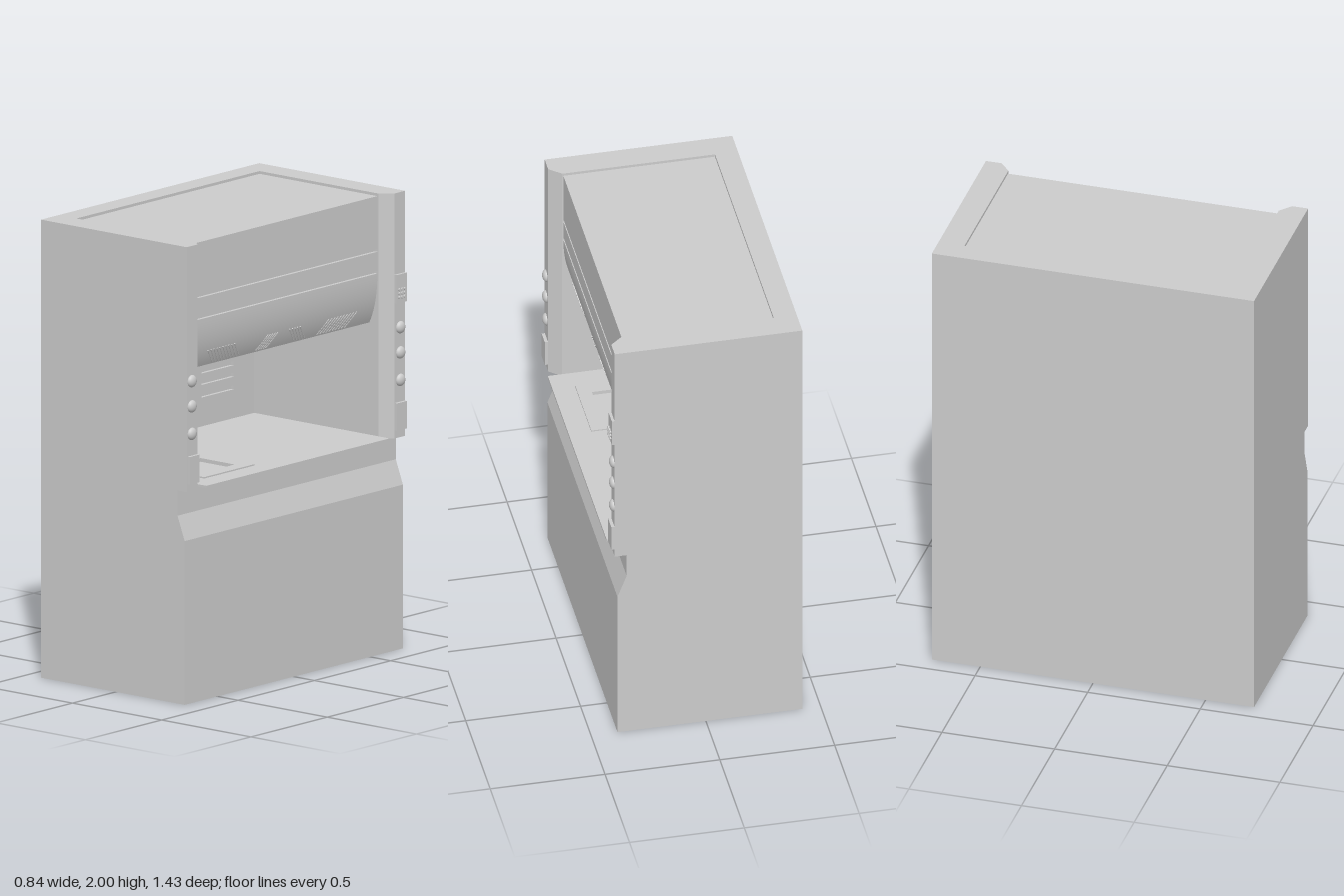
import * as THREE from 'three';
import { toCreasedNormals } from 'three/addons/utils/BufferGeometryUtils.js';

const grey = new THREE.MeshStandardMaterial({ color: 0xcccccc });
const HALF = 0.715; // half the cabinet length
const IN = 0.6; // half the opening length

export function createModel() {
  const root = new THREE.Group();

  function add(name, geometry, x = 0, y = 0, z = 0, parent = root) {
    const mesh = new THREE.Mesh(geometry, grey);
    mesh.name = name;
    mesh.position.set(x, y, z);
    parent.add(mesh);
    return mesh;
  }
  // box given by its limits on each axis
  const block = (name, x0, x1, y0, y1, z0, z1, parent) => add(name,
    new THREE.BoxGeometry(x1 - x0, y1 - y0, z1 - z0),
    (x0 + x1) / 2, (y0 + y1) / 2, (z0 + z1) / 2, parent);
  const shapeOf = (pts) => new THREE.Shape(pts.map(([a, b]) => new THREE.Vector2(a, b)));
  const rect = (a0, a1, b0, b1) => [[a0, b0], [a1, b0], [a1, b1], [a0, b1]];
  const extrude = (shape, depth) =>
    new THREE.ExtrudeGeometry(shape, { depth, bevelEnabled: false, curveSegments: 12 });
  // plan outlines (x, -z) raised along y
  const raise = (shape, height) => extrude(shape, height).rotateX(-Math.PI / 2);

  // base cabinet with a recessed sloping band under the worktop
  add('baseCabinet', extrude(shapeOf([
    [-0.42, 0], [0.385, 0], [0.385, 0.715], [0.345, 0.82], [0.345, 0.93], [-0.42, 0.93],
  ]), HALF * 2), 0, 0, -HALF);

  // worktop with an opening for the sink
  const top = shapeOf(rect(-0.42, 0.408, -IN, IN));
  top.holes.push(shapeOf(rect(0.06, 0.25, -0.44, -0.23)));
  add('worktop', raise(top, 0.01), 0, 0.93, 0);
  const rim = shapeOf(rect(0, 0.31, -0.5, -0.17));
  rim.holes.push(shapeOf(rect(0.06, 0.25, -0.44, -0.23)));
  add('sinkRim', raise(rim, 0.006), 0, 0.94, 0);

  // side walls with chamfered front posts
  for (const s of [1, -1]) {
    const wall = shapeOf([
      [-0.42, -s * HALF], [0.397, -s * HALF], [0.397, -s * 0.645],
      [0.345, -s * IN], [-0.42, -s * IN],
    ]);
    add(s > 0 ? 'leftWall' : 'rightWall', raise(wall, 1.07), 0, 0.93, 0);
  }

  // rear wall and top border
  block('rearWall', -0.42, -0.38, 0.94, 2, -IN, IN);
  block('topBorder', -0.38, -0.32, 1.95, 2, -IN, IN);

  // slotted baffle inside the chamber
  const baffle = shapeOf(rect(-IN, IN, 0.94, 1.45));
  for (const z of [-0.36, 0, 0.36]) {
    for (const y of [1.075, 1.13, 1.18, 1.23, 1.34, 1.39]) {
      baffle.holes.push(shapeOf(rect(z - 0.105, z + 0.105, y - 0.009, y + 0.009)));
    }
  }
  add('slottedBaffle', extrude(baffle, 0.015).rotateY(Math.PI / 2), -0.365, 0, 0);

  // hood front: two grooves, then a curved lower lip
  const hood = new THREE.Shape();
  hood.moveTo(-0.38, 1.43);
  hood.lineTo(0.295, 1.43);
  hood.bezierCurveTo(0.325, 1.49, 0.34, 1.56, 0.34, 1.65);
  for (const y of [1.65, 1.745]) {
    hood.lineTo(0.34, y);
    hood.lineTo(0.325, y);
    hood.lineTo(0.325, y + 0.013);
    hood.lineTo(0.34, y + 0.013);
  }
  hood.lineTo(0.34, 1.988);
  hood.lineTo(-0.32, 1.988);
  hood.lineTo(-0.32, 1.95);
  hood.lineTo(-0.38, 1.95);
  hood.closePath();
  add('hood', toCreasedNormals(extrude(hood, IN * 2), 0.5), 0, 0, -IN);

  // slanted vent ribs on the curved lip: [first z, last z, slant]
  const vents = new THREE.Group();
  vents.name = 'lipVents';
  root.add(vents);
  for (const [z0, z1, slant, n] of [
    [0.49, 0.315, -0.055, 10], [0.095, 0.03, 0.055, 5],
    [-0.045, -0.115, -0.055, 5], [-0.485, -0.305, 0.055, 10],
  ]) {
    for (let i = 0; i < n; i++) {
      const z = z0 + (z1 - z0) * i / (n - 1);
      const a = new THREE.Vector3(0.3225, 1.5, z);
      const b = new THREE.Vector3(0.298, 1.437, z + slant);
      const rib = add('ventRib', new THREE.BoxGeometry(0.006, a.distanceTo(b), 0.005), 0, 0, 0, vents);
      rib.position.copy(a).add(b).multiplyScalar(0.5);
      rib.quaternion.setFromUnitVectors(new THREE.Vector3(0, 1, 0), a.sub(b).normalize());
    }
  }

  // service knobs and outlet boxes on both posts
  const knobGeo = new THREE.SphereGeometry(0.027, 20, 14).scale(0.65, 1, 1);
  for (const s of [1, -1]) {
    const controls = new THREE.Group();
    controls.name = s > 0 ? 'leftControls' : 'rightControls';
    root.add(controls);
    for (const y of [1.18, 1.3, 1.41]) add('knob', knobGeo, 0.397, y, s * 0.683, controls);
    const z = s * 0.679;
    block('outletBox', 0.39, 0.411, 0.965, 1.085, z - 0.032, z + 0.032, controls);
  }

  // control panel with a small keypad on the right post
  block('controlPanel', 0.39, 0.409, 1.52, 1.645, -0.713, -0.645);
  const button = new THREE.CylinderGeometry(0.0065, 0.0065, 0.008, 10).rotateZ(Math.PI / 2);
  for (let i = 0; i < 3; i++) {
    for (let j = 0; j < 3; j++) {
      add('keypadButton', button, 0.412, 1.545 + i * 0.017, -0.679 + (j - 1) * 0.017);
    }
  }
  return root;
}
